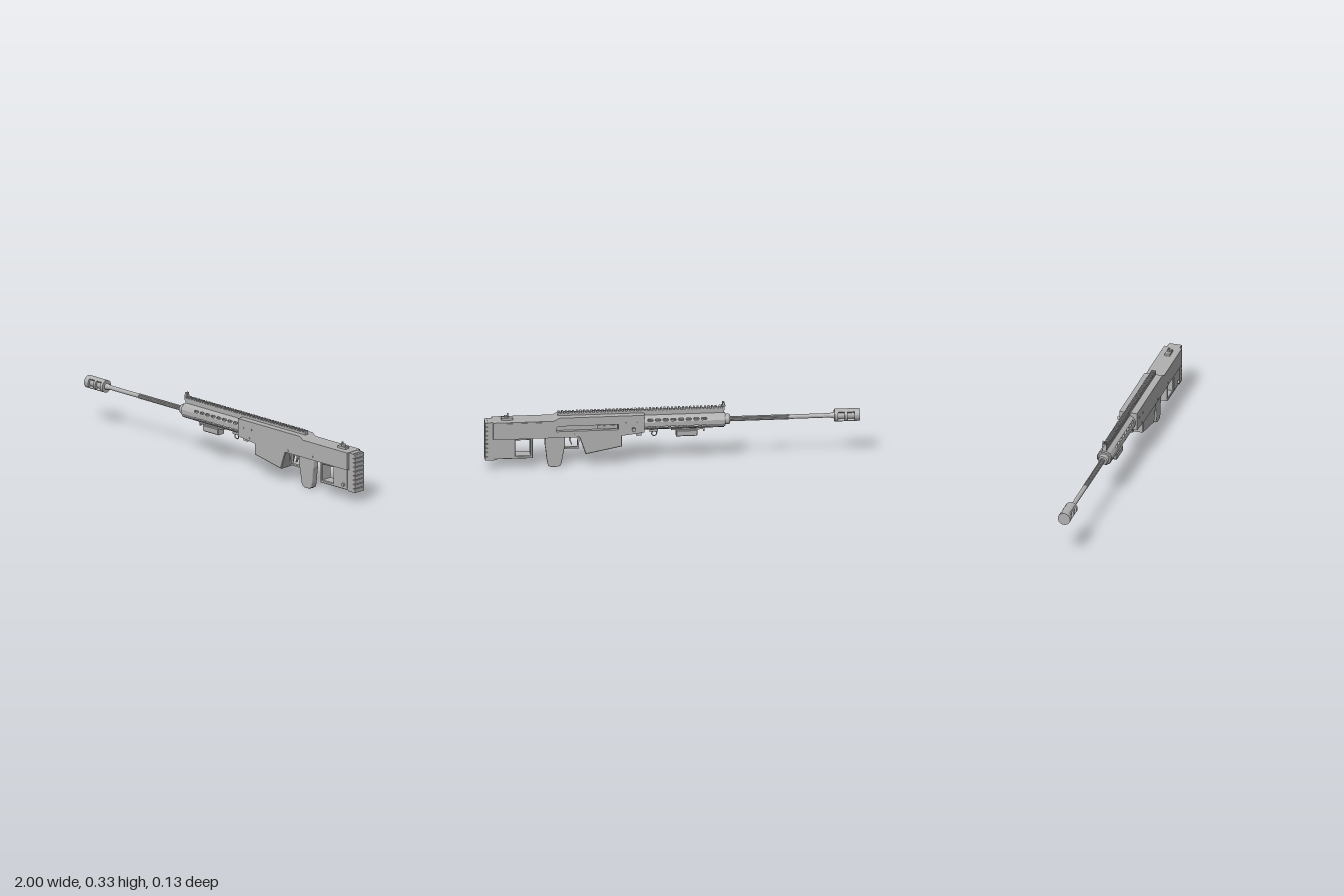
import * as THREE from 'three';

export function createModel() {
  const root = new THREE.Group();
  root.name = 'rifle';
  const body = new THREE.Group();
  body.name = 'body';
  body.position.z = 0.012;
  root.add(body);
  const grey = new THREE.MeshStandardMaterial({ color: 0xb0b0b0 });
  grey.name = 'grey';

  const add = (name, geo) => {
    const m = new THREE.Mesh(geo, grey);
    m.name = name;
    body.add(m);
    return m;
  };
  const poly = (pts, C = THREE.Shape) => new C(pts.map(p => new THREE.Vector2(...p)));
  const rect = (x0, x1, y0, y1) => [[x0, y0], [x1, y0], [x1, y1], [x0, y1]];
  // box from its limits
  const box = (name, x0, x1, y0, y1, z0, z1) => add(name,
    new THREE.BoxGeometry(x1 - x0, y1 - y0, z1 - z0).translate((x0 + x1) / 2, (y0 + y1) / 2, (z0 + z1) / 2));
  // side outline extruded between two z values, with optional holes and bevel
  const slab = (name, pts, z0, z1, holes = [], bevel = 0, segs = 1) => {
    const s = poly(pts);
    holes.forEach(h => s.holes.push(poly(h, THREE.Path)));
    const g = new THREE.ExtrudeGeometry(s, {
      depth: z1 - z0 - 2 * bevel, bevelEnabled: bevel > 0, bevelSize: bevel,
      bevelThickness: bevel, bevelOffset: -bevel, bevelSegments: segs,
    });
    return add(name, g.translate(0, 0, z0 + bevel));
  };
  // solid of revolution along x about the bore: list of [x, radius]
  const BORE = 0.237;
  const turned = (name, pts, sides = 24) => {
    const g = new THREE.LatheGeometry(pts.map(([x, r]) => new THREE.Vector2(r, -x)).reverse(), sides);
    g.rotateZ(Math.PI / 2).translate(0, BORE, 0);
    const m = add(name, g.toNonIndexed());
    m.geometry.computeVertexNormals();
    return m;
  };
  const ring = (name, x0, x1, r, sides) => turned(name, [[x0, 0], [x0, r], [x1, r], [x1, 0]], sides);
  // cylinder pointing along z
  const pin = (name, x, y, z0, z1, r) => add(name,
    new THREE.CylinderGeometry(r, r, z1 - z0, 16).rotateX(Math.PI / 2).translate(x, y, (z0 + z1) / 2));

  // muzzle brake: core, rings and the arcs between the side ports
  ring('brakeCore', -0.995, -0.87, 0.022);
  [[-1, -0.97], [-0.932, -0.918], [-0.882, -0.865]].forEach(([a, b]) => ring('brakeRing', a, b, 0.034));
  for (const side of [1, -1]) {
    const arc = new THREE.Shape();
    const mid = side * Math.PI / 2, w = 0.75;
    arc.absarc(0, 0, 0.034, mid - w, mid + w, false);
    arc.absarc(0, 0, 0.02, mid + w, mid - w, true);
    const g = new THREE.ExtrudeGeometry(arc, { depth: 0.12, bevelEnabled: false, curveSegments: 10 });
    add('brakeArc', g.rotateY(Math.PI / 2).translate(-0.99, BORE, 0));
  }

  // barrel: plain front, fluted rear
  turned('barrelFront', [[-0.868, 0], [-0.868, 0.018], [-0.84, 0.012], [-0.64, 0.012], [-0.62, 0.013], [-0.62, 0]]);
  const flute = [];
  for (let i = 0; i < 32; i++) {
    const a = i / 32 * Math.PI * 2, r = i % 4 === 0 ? 0.0095 : 0.0135;
    flute.push([r * Math.cos(a), r * Math.sin(a)]);
  }
  add('barrelFluted', new THREE.ExtrudeGeometry(poly(flute), { depth: 0.8, bevelEnabled: false })
    .rotateY(Math.PI / 2).translate(-0.625, BORE, 0));
  turned('barrelCollar', [[-0.308, 0], [-0.308, 0.024], [-0.3, 0.028], [-0.283, 0.028], [-0.283, 0.036],
    [-0.272, 0.041], [-0.262, 0.041], [-0.262, 0]]);

  // twelve-sided handguard with two rows of slots on each side
  const R = 0.041, hw = R * Math.tan(Math.PI / 12);
  for (let k = 0; k < 12; k++) {
    const s = poly(rect(-0.275, 0.155, -hw, hw));
    if ([1, 5, 7, 11].includes(k)) {
      for (let i = 0; i < 8; i++) {
        const x = -0.168 + i * 0.041, h = 0.0065;
        s.holes.push(poly([[x - 0.016, 0], [x - 0.011, -h], [x + 0.011, -h], [x + 0.016, 0],
          [x + 0.011, h], [x - 0.011, h]], THREE.Path));
      }
    }
    const g = new THREE.ExtrudeGeometry(s, { depth: 0.005, bevelEnabled: false });
    add('handguardPanel', g.translate(0, 0, R - 0.005).rotateX(k * Math.PI / 6).translate(0, BORE, 0));
  }

  // top rail with cross teeth
  box('railRiser', -0.275, 0.155, 0.27, 0.297, -0.01, 0.01);
  box('railBase', -0.28, 0.61, 0.292, 0.305, -0.0125, 0.0125);
  for (let i = 0; i < 46; i++) {
    const x = -0.278 + i * 0.0195;
    box('railTooth', x, x + 0.01, 0.304, 0.314, -0.0125, 0.0125);
  }

  // front sight with three posts, rear sight with knob
  box('frontSightBase', -0.283, -0.262, 0.312, 0.32, -0.01, 0.01);
  for (const z of [-0.0085, 0, 0.0085]) box('frontSightPost', -0.279, -0.268, 0.318, 0.335, z - 0.0015, z + 0.0015);
  box('rearSightBase', 0.85, 0.91, 0.275, 0.289, -0.014, 0.014);
  add('rearSightKnob', new THREE.CylinderGeometry(0.012, 0.012, 0.012, 16).translate(0.885, 0.293, 0));
  box('rearSightPost', 0.872, 0.88, 0.289, 0.312, -0.004, 0.004);

  // receiver and upper stock; the right wall has the long bolt slot
  const W = 0.0495;
  const outline = [[0.15, 0.195], [0.27, 0.181], [0.957, 0.181], [0.957, 0.277], [0.632, 0.277], [0.605, 0.293], [0.15, 0.293]];
  slab('receiver', outline, -0.03, W - 0.004);
  slab('receiverLeftWall', outline, W - 0.004, W);
  slab('receiverRightWall', outline, -W, -0.03, [[[0.29, 0.216], [0.62, 0.216], [0.62, 0.238], [0.608, 0.246], [0.29, 0.246]]]);
  box('bolt', 0.295, 0.4, 0.22, 0.242, -0.042, -0.028);
  for (const x of [0.31, 0.335, 0.36]) box('boltRib', x, x + 0.012, 0.222, 0.24, -0.047, -0.04);

  // stock panels and screws
  for (const x of [0.68, 0.765, 0.85]) box('cheekPanel', x, x + 0.075, 0.245, 0.272, -W - 0.003, -W + 0.002);
  for (const s of [1, -1]) {
    for (const [x, y] of [[0.19, 0.25], [0.235, 0.2], [0.52, 0.195], [0.7, 0.2], [0.25, 0.25]]) {
      const a = s * (W - 0.002), b = s * (W + 0.0025);
      pin('screw', x, y, Math.min(a, b), Math.max(a, b), 0.005);
    }
  }

  // charging handle on the right side
  pin('chargingStem', 0.21, 0.22, -0.066, -0.045, 0.006);
  pin('chargingKnob', 0.21, 0.22, -0.076, -0.062, 0.0105);

  // magazine
  slab('magazine', [[0.27, 0.185], [0.27, 0.118], [0.465, 0.08], [0.5, 0.185]], -0.047, 0.047, [], 0.004);

  // trigger guard and trigger
  slab('triggerGuard', [[0.492, 0.185], [0.498, 0.101], [0.6, 0.101], [0.6, 0.185]], -0.009, 0.009,
    [[[0.502, 0.178], [0.507, 0.109], [0.592, 0.109], [0.592, 0.178]]]);
  slab('trigger', [[0.535, 0.183], [0.541, 0.15], [0.533, 0.125], [0.538, 0.123], [0.549, 0.148], [0.552, 0.183]], -0.005, 0.005);

  // pistol grip
  slab('grip', [[0.572, 0.185], [0.571, 0.13], [0.582, 0.07], [0.59, 0.022], [0.598, 0.009], [0.612, 0.003], [0.648, 0.003],
    [0.662, 0.012], [0.668, 0.04], [0.673, 0.09], [0.679, 0.13], [0.677, 0.16], [0.667, 0.185]], -0.0205, 0.0205, [], 0.006, 3);

  // open rear frame and butt block
  slab('buttFrame', rect(0.745, 0.975, 0.064, 0.19), -0.035, 0.035, [rect(0.757, 0.838, 0.08, 0.168)], 0.003);
  box('buttFacing', 0.85, 0.945, 0.075, 0.182, -0.038, 0.038);
  pin('slingStud', 0.92, 0.092, 0.036, 0.048, 0.009);

  // ribbed butt pad
  box('buttPlate', 0.95, 0.985, 0.06, 0.275, -0.035, 0.035);
  for (let i = 0; i < 9; i++) {
    const y = 0.06 + i * 0.024;
    box('padRib', 0.983, 1, y, y + 0.0205, -0.035, 0.035);
  }

  // accessory block under the handguard
  slab('accessoryBlock', [[-0.135, 0.162], [-0.128, 0.155], [-0.02, 0.155], [-0.02, 0.19], [-0.135, 0.19]], -0.025, 0.025, [], 0.004);
  box('accessoryMount', -0.172, 0.005, 0.188, 0.2, -0.013, 0.013);
  box('mountTab', -0.172, -0.165, 0.175, 0.19, -0.008, 0.008);

  // sling ring and front lug
  box('ringMount', 0.075, 0.12, 0.183, 0.2, -0.012, 0.012);
  add('slingRing', new THREE.TorusGeometry(0.0135, 0.003, 8, 20).translate(0.095, 0.17, 0));
  slab('frontLug', [[0.155, 0.2], [0.165, 0.168], [0.19, 0.165], [0.195, 0.178], [0.27, 0.18], [0.27, 0.2]], -0.02, 0.02);

  return root;
}
